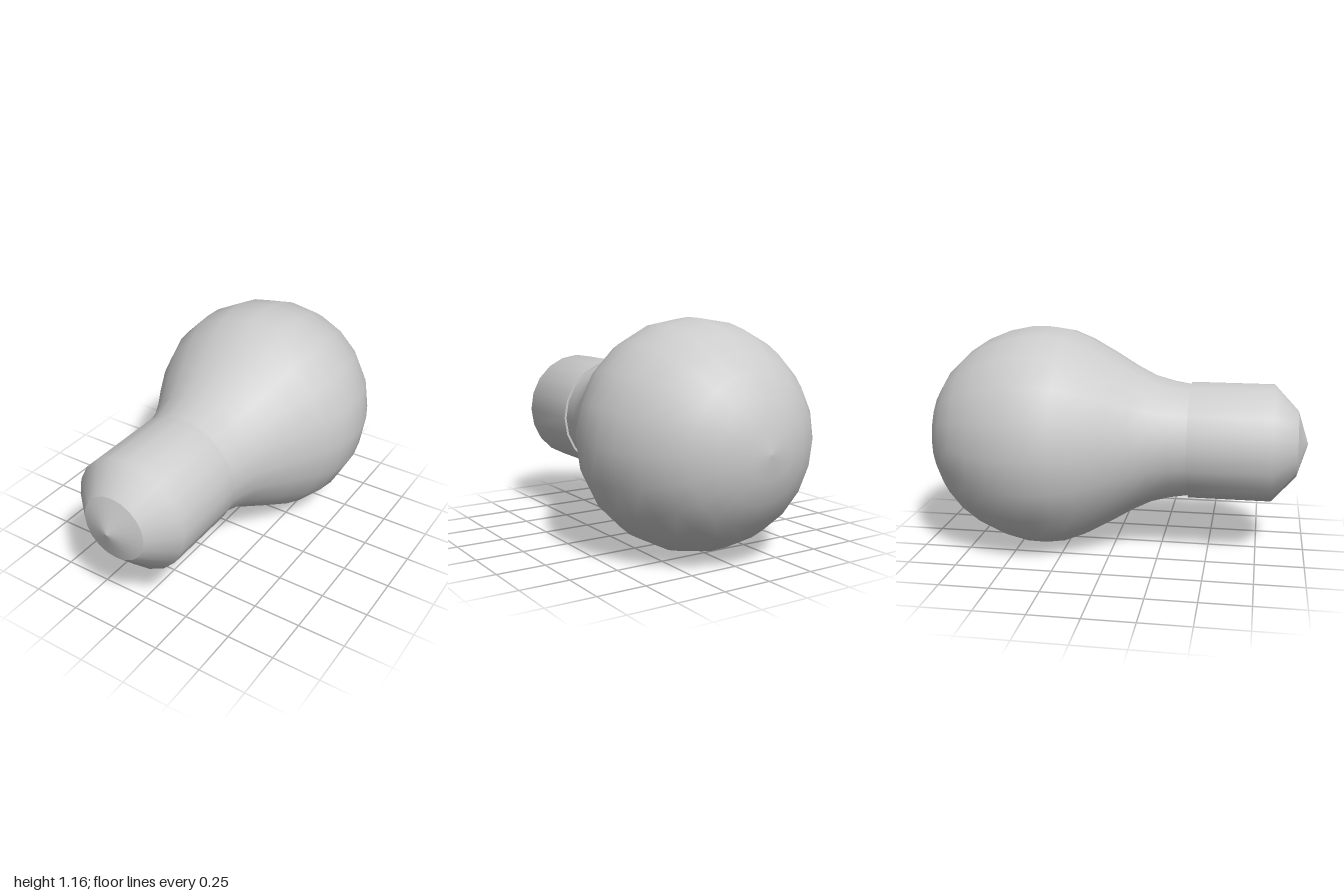
import * as THREE from 'three';

const SIDES = 20;

// Lathe a [radius, z] profile around the z axis
function turned(name, profile, material) {
  const points = profile.map(([r, z]) => new THREE.Vector2(r, z));
  const geometry = new THREE.LatheGeometry(points, SIDES);
  geometry.rotateX(Math.PI / 2);
  const mesh = new THREE.Mesh(geometry, material);
  mesh.name = name;
  return mesh;
}

export function createModel() {
  const group = new THREE.Group();
  group.name = 'lightBulb';
  const material = new THREE.MeshStandardMaterial({ color: 0xcccccc });

  // Round glass narrowing into a flared neck
  group.add(turned('glass', [
    [0, -1], [0.125, -0.985], [0.245, -0.94], [0.355, -0.87], [0.437, -0.785],
    [0.505, -0.68], [0.553, -0.565], [0.578, -0.45], [0.58, -0.35], [0.566, -0.25],
    [0.525, -0.145], [0.445, 0], [0.385, 0.1], [0.335, 0.2], [0.308, 0.3], [0.292, 0.4],
  ], material));

  // Screw base: rear rim, barrel with chamfered end, contact tip
  group.add(turned('baseRim', [[0.27, 0.395], [0.305, 0.395]], material));
  group.add(turned('base', [[0.305, 0.395], [0.305, 0.82], [0.172, 0.945]], material));
  group.add(turned('contactTip', [[0.172, 0.945], [0, 1]], material));

  // Rest the widest ring on the ground
  group.children.forEach((part) => { part.position.y = 0.583; });
  return group;
}
